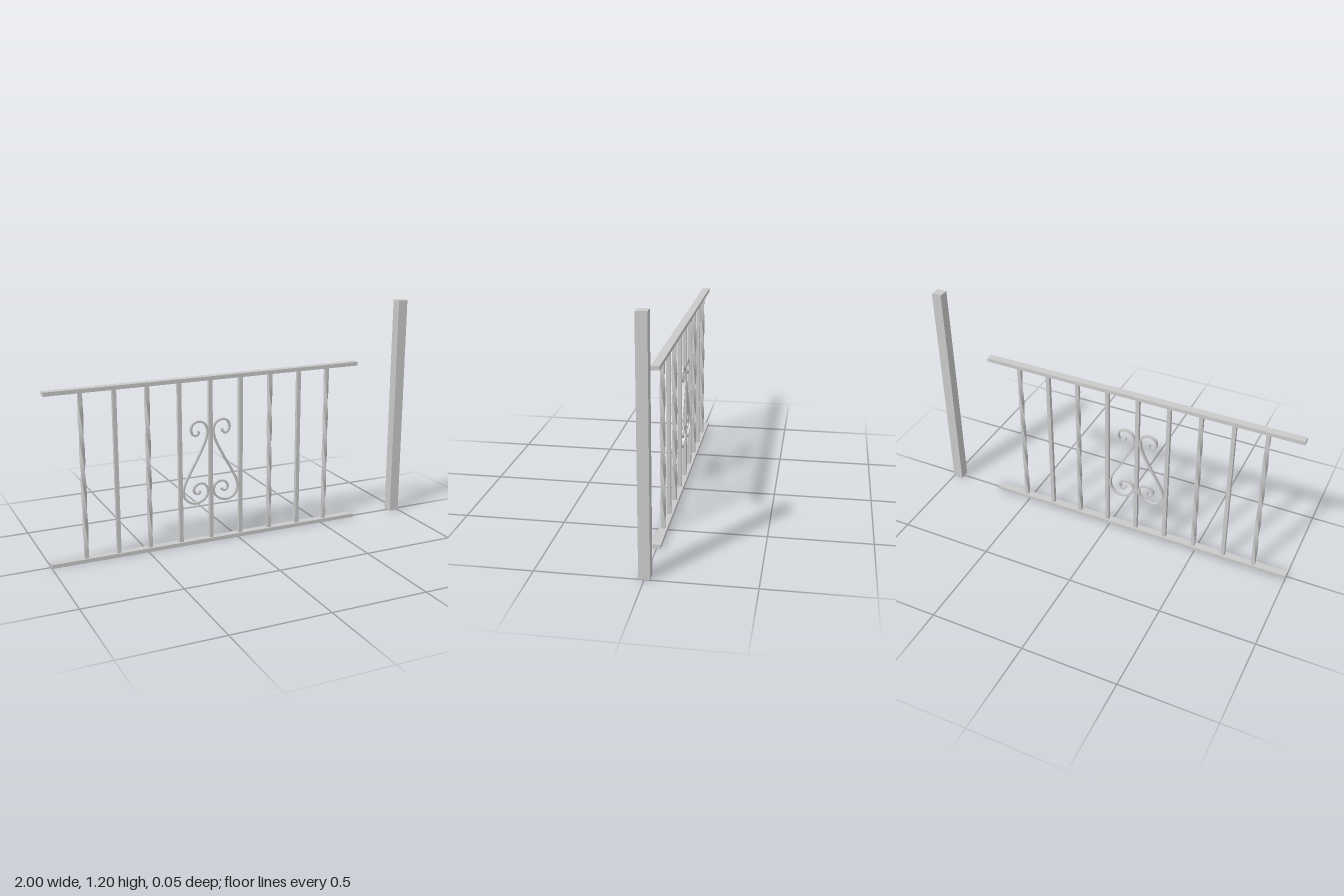
import * as THREE from 'three';

export function createModel() {
  const model = new THREE.Group();
  model.name = 'railing';
  const iron = new THREE.MeshStandardMaterial({ color: 0xcacaca });
  iron.name = 'light grey iron';

  function add(geometry, name, x = 0, y = 0, z = 0) {
    const mesh = new THREE.Mesh(geometry, iron);
    mesh.name = name;
    mesh.position.set(x, y, z);
    model.add(mesh);
    return mesh;
  }

  // Rails and free-standing post
  const railHeight = 0.02;
  add(new THREE.BoxGeometry(1.703, railHeight, 0.04), 'bottomRail', -0.1485, 0.01);
  add(new THREE.BoxGeometry(1.703, railHeight, 0.04), 'topRail', -0.1485, 0.873);
  add(new THREE.BoxGeometry(0.053, 1.197, 0.053), 'post', 0.9735, 0.5985);

  // Balusters: plain square bars, four of them twisted
  const barHeight = 0.845, barWidth = 0.02, middle = -0.1485, spacing = 0.168;
  const plainBar = new THREE.BoxGeometry(barWidth, barHeight, barWidth);
  const twistedBar = new THREE.BoxGeometry(barWidth, barHeight, barWidth, 1, 40, 1);
  const p = twistedBar.attributes.position;
  for (let i = 0; i < p.count; i++) {
    const t = THREE.MathUtils.clamp((p.getY(i) + 0.38) / 0.74, 0, 1);
    const a = t * Math.PI * 2;
    const x = p.getX(i), z = p.getZ(i);
    p.setX(i, x * Math.cos(a) - z * Math.sin(a));
    p.setZ(i, x * Math.sin(a) + z * Math.cos(a));
  }
  twistedBar.computeVertexNormals();
  for (let i = -4; i <= 4; i++) {
    const twisted = Math.abs(i) > 1 && i % 2 === 0;
    add(twisted ? twistedBar : plainBar, twisted ? 'twistedBaluster' : 'baluster',
      middle + i * spacing, 0.0195 + barHeight / 2);
  }

  // Scroll centreline, measured outward from the middle baluster
  const path = new THREE.CatmullRomCurve3([
    [0.066, 0.602], [0.067, 0.588], [0.080, 0.578], [0.098, 0.586], [0.106, 0.612],
    [0.096, 0.640], [0.066, 0.651], [0.034, 0.640], [0.017, 0.608], [0.023, 0.560],
    [0.065, 0.470], [0.118, 0.375], [0.148, 0.310], [0.150, 0.268], [0.127, 0.231],
    [0.088, 0.217], [0.045, 0.229], [0.018, 0.262], [0.021, 0.300], [0.045, 0.320],
    [0.077, 0.317], [0.095, 0.293], [0.086, 0.270], [0.067, 0.268], [0.060, 0.282],
  ].map(([x, y]) => new THREE.Vector3(x, y, 0)), false, 'centripetal');

  // Offset the centreline to both sides for a square bar; mirror it for the other side
  function scrollGeometry(side) {
    const steps = 160, half = 0.005, depth = 0.016, left = [], right = [];
    for (let i = 0; i <= steps; i++) {
      const c = path.getPointAt(i / steps), d = path.getTangentAt(i / steps);
      left.push(new THREE.Vector2(side * (c.x - d.y * half), c.y + d.x * half));
      right.push(new THREE.Vector2(side * (c.x + d.y * half), c.y - d.x * half));
    }
    const shape = new THREE.Shape(left.concat(right.reverse()));
    const geometry = new THREE.ExtrudeGeometry(shape, { depth, bevelEnabled: false });
    return geometry.translate(0, 0, -depth / 2);
  }
  add(scrollGeometry(1), 'leftScroll', middle);
  add(scrollGeometry(-1), 'rightScroll', middle);

  return model;
}
